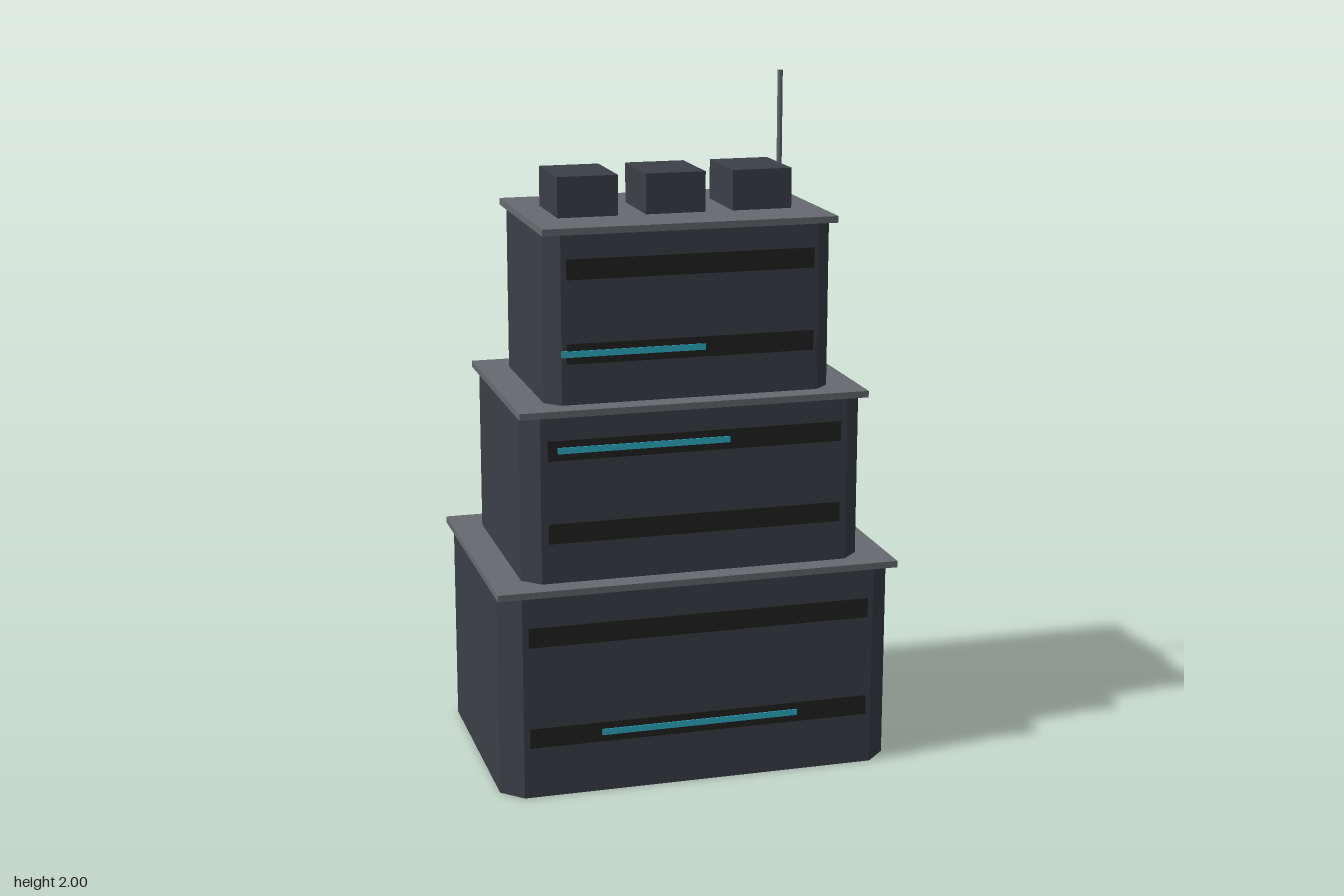
import * as THREE from 'three';

const material = (name, color) => {
  const m = new THREE.MeshStandardMaterial({ color });
  m.name = name;
  return m;
};

export function createModel() {
  const wall = material('dark slate wall', 0x3b4047);
  const ledge = material('grey concrete', 0x676b6f);
  const glass = material('black window', 0x222323);
  const light = material('cyan light', 0x2fb4cc);

  const tower = new THREE.Group();
  tower.name = 'tower';

  const add = (name, geometry, mat, x, y, z) => {
    const mesh = new THREE.Mesh(geometry, mat);
    mesh.name = name;
    mesh.position.set(x, y, z);
    tower.add(mesh);
  };
  // Box given by its extents in x, y and z
  const box = (name, mat, [x0, x1], [y0, y1], [z0, z1]) =>
    add(name, new THREE.BoxGeometry(x1 - x0, y1 - y0, z1 - z0), mat,
      (x0 + x1) / 2, (y0 + y1) / 2, (z0 + z1) / 2);

  // Upright block with its four vertical corners cut off
  const chamferedBlock = (w, d, c, height) => {
    const shape = new THREE.Shape([
      [w - c, -d], [w, c - d], [w, d - c], [w - c, d],
      [c - w, d], [-w, d - c], [-w, c - d], [c - w, -d],
    ].map(([x, y]) => new THREE.Vector2(x, y)));
    return new THREE.ExtrudeGeometry(shape, { depth: height, bevelEnabled: false })
      .rotateX(-Math.PI / 2);
  };

  // Half width, half depth, chamfer, base, top, window half width, window rows, light span and height
  const tiers = [
    { w: 0.58, d: 0.386, c: 0.06, y0: 0, y1: 0.6, win: 0.503, rows: [0.18, 0.48], span: [-0.293, 0.29], lit: 0.18 },
    { w: 0.5, d: 0.332, c: 0.05, y0: 0.6, y1: 1.1, win: 0.43, rows: [0.762, 1.002], span: [-0.403, 0.098], lit: 1.002 },
    { w: 0.418, d: 0.279, c: 0.043, y0: 1.1, y1: 1.6, win: 0.36, rows: [1.262, 1.5], span: [-0.375, 0.04], lit: 1.262 },
  ];
  for (const { w, d, c, y0, y1, win, rows, span, lit } of tiers) {
    add('tierBody', chamferedBlock(w, d, c, y1 - y0), wall, 0, y0, 0);
    box('tierLedge', ledge, [-w - 0.01, w + 0.01], [y1 - 0.003, y1 + 0.016], [-d - 0.01, d + 0.01]);
    for (const y of rows) box('windowBand', glass, [-win, win], [y - 0.029, y + 0.029], [d - 0.003, d + 0.005]);
    box('lightStrip', light, span, [lit - 0.009, lit + 0.009], [d, d + 0.008]);
  }

  // Rooftop units and antenna
  for (const x of [-0.257, 0, 0.257]) {
    box('roofUnit', wall, [x - 0.088, x + 0.088], [1.61, 1.732], [-0.116, 0.116]);
  }
  add('antenna', new THREE.CylinderGeometry(0.008, 0.008, 0.39, 8), ledge, 0.345, 1.805, 0);

  return tower;
}
